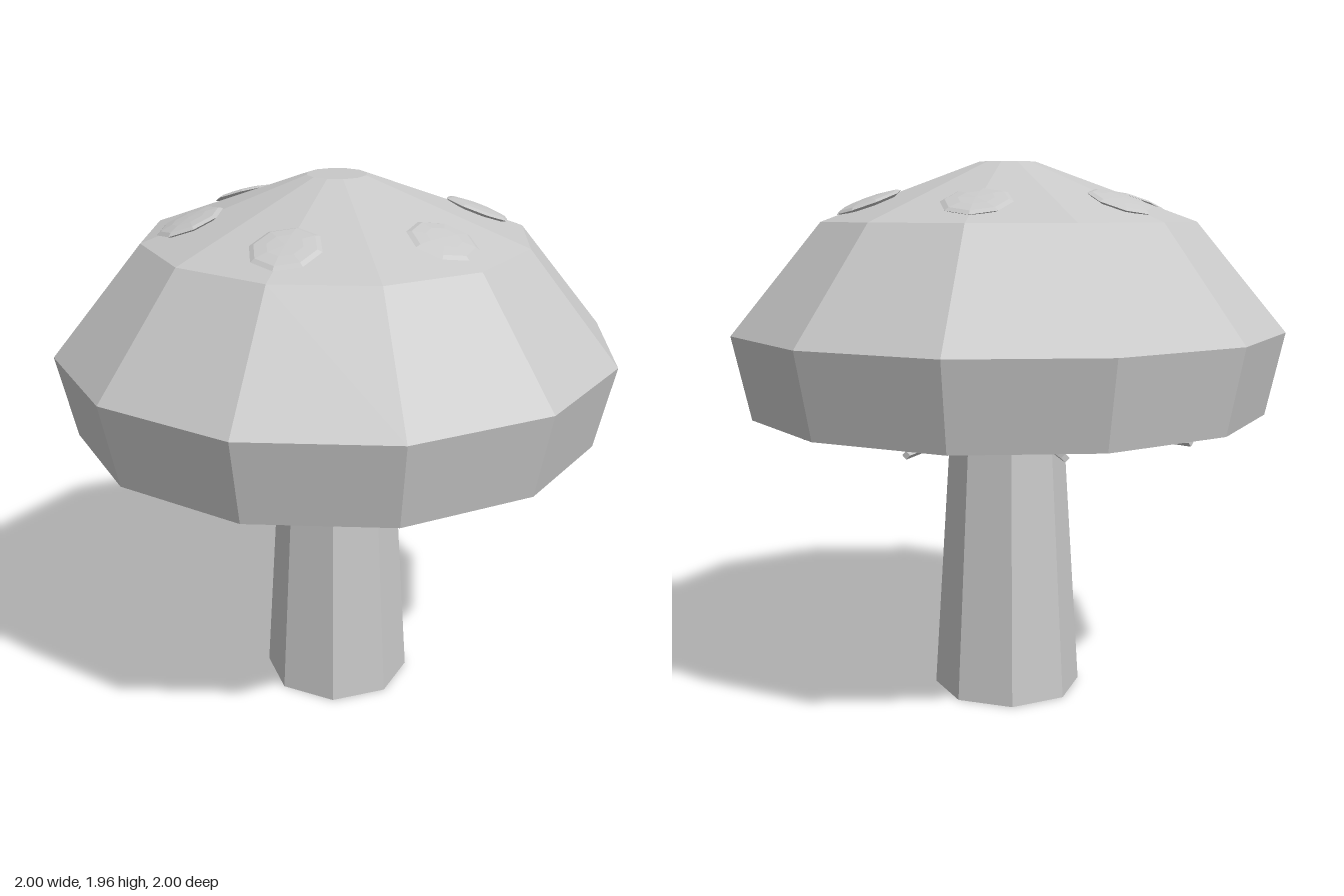
import * as THREE from 'three';

// Faceted normals for the low-poly look
function faceted(geometry) {
  const g = geometry.toNonIndexed();
  g.computeVertexNormals();
  return g;
}

export function createModel() {
  const model = new THREE.Group();
  model.name = 'mushroom';
  const grey = new THREE.MeshStandardMaterial({ color: 0xc8c8c8 });
  grey.name = 'light grey';

  function add(name, geometry, parent = model) {
    const mesh = new THREE.Mesh(faceted(geometry), grey);
    mesh.name = name;
    parent.add(mesh);
    return mesh;
  }

  // Tapered eight-sided stem, running slightly into the cap
  add('stem', new THREE.CylinderGeometry(0.205, 0.275, 1.1, 8)).position.y = 0.55;

  // Twelve-sided cap with a flat underside and a small flat crown
  const profile = [[0, 1.07], [0.937, 1.07], [1, 1.365], [0.68, 1.75], [0.105, 1.96], [0, 1.96]];
  add('cap', new THREE.LatheGeometry(profile.map(([r, y]) => new THREE.Vector2(r, y)), 12));

  // Six shallow domed spots lying on the upper slope
  const slope = Math.atan2(0.21, 0.575);
  for (let i = 0; i < 6; i++) {
    const arm = new THREE.Group();
    arm.name = 'spotArm';
    arm.rotation.y = i * Math.PI / 3;
    const dome = new THREE.SphereGeometry(0.122, 8, 6).scale(1, 0.13, 1);
    const spot = add('spot', dome, arm);
    spot.position.set(0.508, 1.817, 0);
    spot.rotation.z = -slope;
    model.add(arm);
  }

  // Ten thin gill rods radiating below the cap
  const inner = 0.25, outer = 0.805;
  for (let i = 0; i < 10; i++) {
    const arm = new THREE.Group();
    arm.name = 'gillArm';
    arm.rotation.y = i * Math.PI / 5;
    const rod = new THREE.CylinderGeometry(0.014, 0.014, outer - inner, 4).rotateZ(Math.PI / 2);
    add('gill', rod, arm).position.set((inner + outer) / 2, 1.035, 0);
    model.add(arm);
  }

  return model;
}
